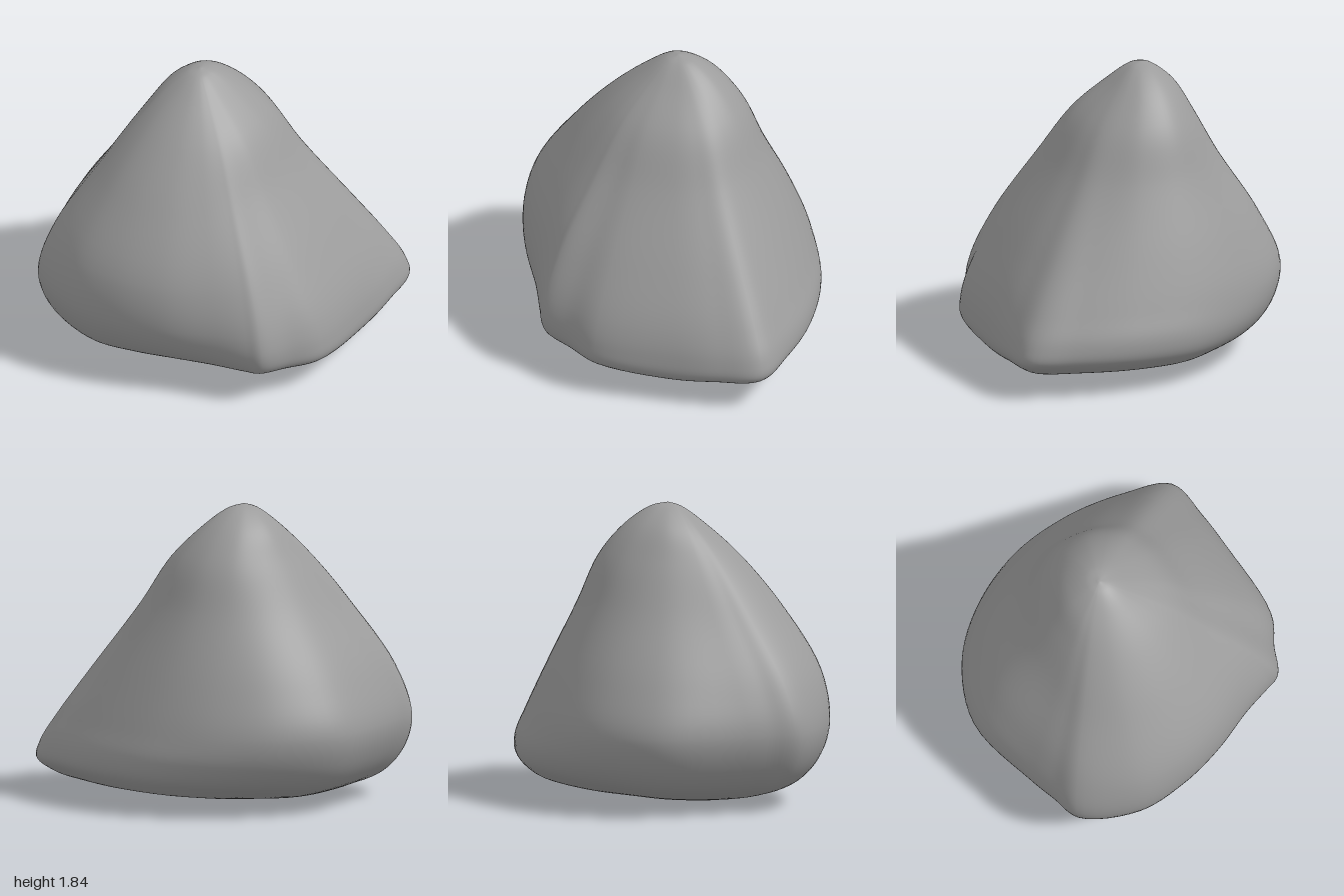
import * as THREE from 'three';
import { mergeVertices } from 'three/addons/utils/BufferGeometryUtils.js';

// Plan outline at the widest part: direction (degrees from +x towards +z) and radius
const OUTLINE = [
  [8, 1.01], [21, .985], [32, 1.02], [37, .97], [50, .87], [70, .855], [90, .92], [108, 1.03],
  [129, 1.11], [139, 1.02], [150, .97], [180, 1], [205, .96], [230, .92], [255, .93],
  [280, 1], [300, 1.13], [313, 1.26], [325, 1.13], [340, 1.02],
];
// Vertical profile: height, then reach to the +x, +z, -x and -z sides
const PROFILE = [
  [0, .72, .25, .35, .86],
  [.06, .88, .6, .65, .95],
  [.15, .99, .82, .84, 1],
  [.3, 1, .95, .94, 1],
  [.5, .96, 1.01, .967, .93],
  [.8, .81, .96, .82, .79],
  [1.2, .57, .7, .54, .59],
  [1.5, .4, .44, .355, .45],
  [1.7, .2, .22, .22, .28],
  [1.81, .07, .07, .08, .12],
];
const AROUND = OUTLINE.length * 6, UP = 66;

// The outline scaled by the blended reach, growing rounder with height;
// the axis leans towards -x and the underside rises to the back and the front corner
function sectionPoint([y, right, front, left, back], [degrees, radius]) {
  const a = THREE.MathUtils.degToRad(degrees);
  const c = Math.cos(a), s = Math.sin(a);
  const reach = c * c * (c > 0 ? right : left) + s * s * (s > 0 ? front : back);
  const r = reach * Math.pow(radius, 1 - y / 1.83);
  const x = r * c - 0.065 * y;
  const z = r * s - 0.01 * y;
  const rise = 0.11 * Math.max(0, 0.2 - z) + 0.2 * Math.max(0, x + z - 0.6);
  return new THREE.Vector3(x, y + rise * Math.max(0, 1 - y / 0.4), z);
}

function boulderGeometry() {
  // Smooth closed loops, one per height
  const loops = PROFILE.map((level) =>
    new THREE.CatmullRomCurve3(OUTLINE.map((corner) => sectionPoint(level, corner)), true));

  // Smooth ribs from the underside through every loop to the peak
  const base = new THREE.Vector3(0.15, 0.005, 0.15);
  const peak = new THREE.Vector3(-0.12, 1.837, -0.03);
  const positions = [], index = [];
  for (let i = 0; i <= AROUND; i++) {
    const t = (i % AROUND) / AROUND;
    const rib = new THREE.CatmullRomCurve3([base, ...loops.map((l) => l.getPoint(t)), peak]);
    for (let j = 0; j <= UP; j++) positions.push(...rib.getPoint(j / UP).toArray());
  }

  // Skin between neighbouring ribs, closing to a point at both ends
  for (let i = 0; i < AROUND; i++) {
    for (let j = 0; j < UP; j++) {
      const a = i * (UP + 1) + j, b = a + UP + 1;
      if (j < UP - 1) index.push(a, a + 1, b + 1);
      else index.push(a, a + 1, b);
      if (j > 0 && j < UP - 1) index.push(a, b + 1, b);
    }
  }

  let geometry = new THREE.BufferGeometry();
  geometry.setAttribute('position', new THREE.Float32BufferAttribute(positions, 3));
  geometry.setIndex(index);
  geometry = mergeVertices(geometry, 1e-5);
  geometry.computeVertexNormals();
  return geometry;
}

export function createModel() {
  const group = new THREE.Group();
  group.name = 'rock';
  const boulder = new THREE.Mesh(
    boulderGeometry(), new THREE.MeshStandardMaterial({ color: 0x9c9c9c }));
  boulder.name = 'boulder';
  group.add(boulder);
  return group;
}
